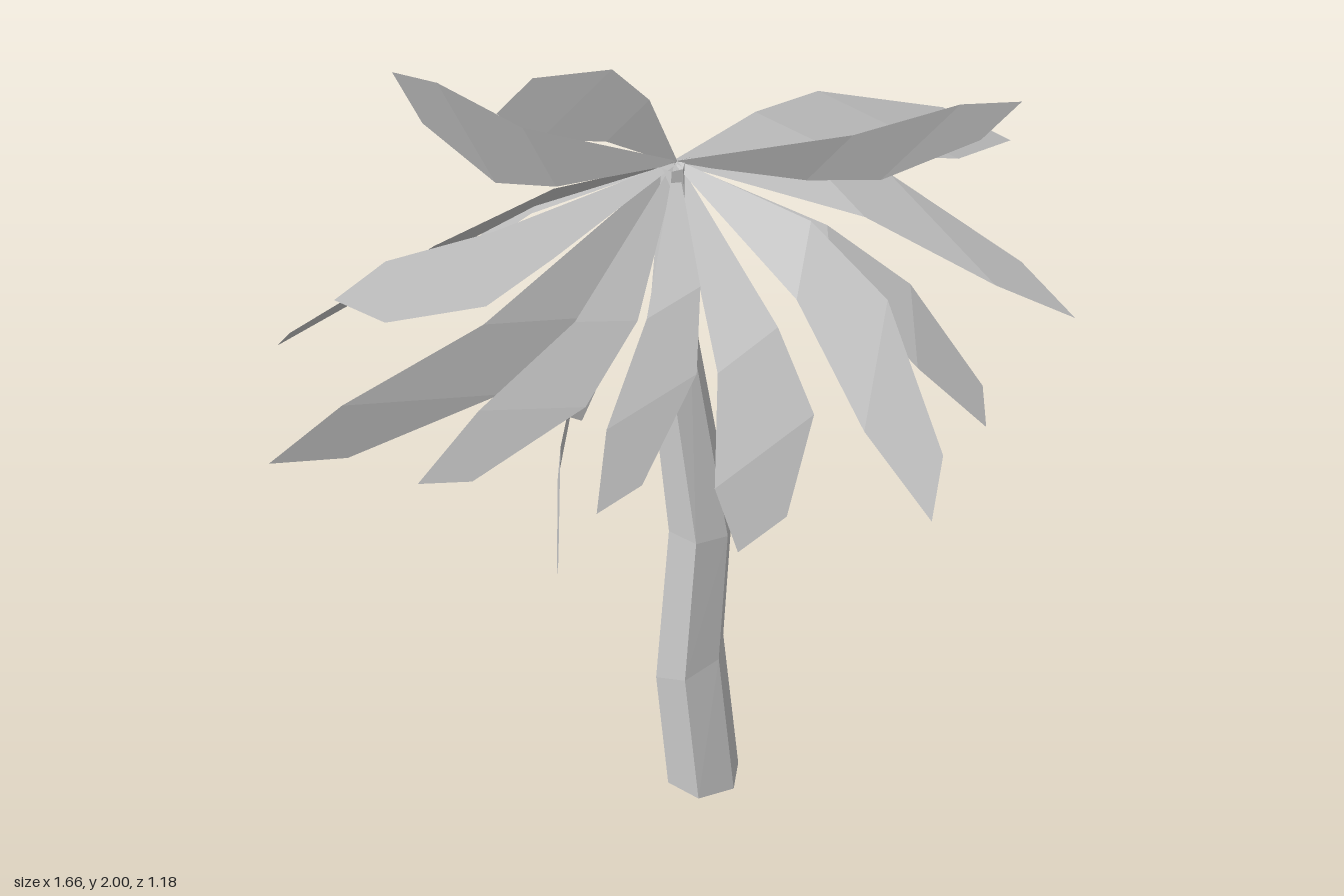
import * as THREE from 'three';

const material = new THREE.MeshStandardMaterial({ color: 0xcccccc, flatShading: true, side: THREE.DoubleSide });
const hub = new THREE.Vector3(0.01, 1.63, -0.01);

// Each frond: centre of its widest section, half-width vector there, tip corner
const upperFronds = [
  [[0.495, 1.665, -0.05], [0.075, 0.105, 0.02], [0.69, 1.78, -0.03]],
  [[-0.38, 1.835, 0.22], [-0.05, 0.125, 0.02], [-0.51, 2.0, 0.27]],
  [[-0.18, 1.82, 0.085], [-0.07, -0.07, 0.02], [-0.33, 1.83, 0.14]],
  [[-0.435, 1.58, 0.36], [-0.095, 0.05, 0], [-0.62, 1.6, 0.45]],
  [[0.55, 1.425, -0.1], [0.11, -0.06, 0.11], [0.83, 1.26, -0.03]],
  [[0.44, 1.48, -0.4], [0.15, -0.08, 0], [0.71, 1.33, -0.585]],
  [[0.31, 1.43, -0.41], [0.09, 0.035, -0.05], [0.43, 1.33, -0.59]],
  [[-0.5, 1.44, 0.08], [-0.04, -0.09, -0.08], [-0.8, 1.23, 0.1]],
];
const droopingFronds = [
  [[0.42, 1.31, 0.22], [-0.02, -0.09, 0.1], [0.54, 1.06, 0.4]],
  [[0.5, 1.25, 0], [0.01, -0.07, 0.05], [0.66, 1.01, 0.02]],
  [[0.2, 1.06, 0.19], [-0.1, -0.1, 0], [0.15, 0.8, 0.2]],
  [[-0.02, 1.31, 0.36], [-0.085, -0.015, 0.075], [-0.12, 1.16, 0.53]],
  [[-0.25, 1.33, 0.42], [-0.1, 0.03, 0.05], [-0.46, 1.27, 0.59]],
  [[-0.51, 1.1, 0.1], [-0.16, 0.01, 0.04], [-0.83, 0.96, 0.15]],
  [[-0.42, 1.26, -0.25], [0.02, -0.03, -0.11], [-0.52, 1.06, -0.41]],
  [[-0.05, 1.3, -0.3], [0.05, -0.03, -0.08], [0, 1.14, -0.45]],
  [[-0.19, 1.08, -0.14], [0.06, -0.04, -0.025], [-0.2, 0.85, -0.17]],
  [[-0.22, 1.02, 0.2], [-0.01, -0.1, -0.07], [-0.23, 0.72, 0.2]],
];

// A thin blade: three cross-sections along a quadratic spine starting at the crown
function makeFrond([centre, half, tip]) {
  const w = new THREE.Vector3(...half);
  const c = new THREE.Vector3(...centre).sub(hub);
  const end = new THREE.Vector3(...tip).addScaledVector(w, -0.5).sub(hub);
  const b = end.clone().multiplyScalar(0.75).sub(c).divideScalar(0.1875);
  const a = end.clone().sub(b);
  const points = [];
  for (const [t, k] of [[0, 0.04], [0.47, 0.6], [0.75, 1], [1, 0.5]]) {
    const p = hub.clone().addScaledVector(a, t).addScaledVector(b, t * t);
    points.push(p.clone().addScaledVector(w, k), p.clone().addScaledVector(w, -k));
  }
  const index = [];
  for (let i = 0; i < 6; i += 2) index.push(i, i + 1, i + 2, i + 1, i + 3, i + 2);
  // Keep the front of every blade facing up
  const normal = new THREE.Triangle(points[2], points[3], points[4]).getNormal(new THREE.Vector3());
  if (normal.y < 0) index.reverse();
  const geometry = new THREE.BufferGeometry().setFromPoints(points).setIndex(index).toNonIndexed();
  geometry.computeVertexNormals();
  const mesh = new THREE.Mesh(geometry, material);
  mesh.name = 'frond';
  return mesh;
}

// Crooked six-sided trunk; rings run top to bottom: x, y, z, radius, tilt
function makeTrunk() {
  const rings = [
    [0.005, 1.63, 0, 0.025, 0],
    [0, 1.23, 0.01, 0.052, 0.6],
    [0.065, 0.73, 0.02, 0.073, 0],
    [0.043, 0.35, 0.018, 0.08, 0.5],
    [0.075, 0, 0.018, 0.086, 0],
  ];
  const geometry = new THREE.CylinderGeometry(1, 1, 4, 6, 4, true);
  geometry.rotateY(THREE.MathUtils.degToRad(-5));
  const pos = geometry.attributes.position;
  for (let i = 0; i < pos.count; i++) {
    const [x, y, z, r, tilt] = rings[Math.round(2 - pos.getY(i))];
    const dx = pos.getX(i) * r;
    pos.setXYZ(i, x + dx, y + dx * tilt, z + pos.getZ(i) * r);
  }
  geometry.computeVertexNormals();
  const mesh = new THREE.Mesh(geometry, material);
  mesh.name = 'trunk';
  return mesh;
}

export function createModel() {
  const model = new THREE.Group();
  model.name = 'palmTree';
  const crown = new THREE.Group();
  crown.name = 'crown';
  for (const frond of [...upperFronds, ...droopingFronds]) crown.add(makeFrond(frond));
  model.add(makeTrunk(), crown);
  return model;
}
